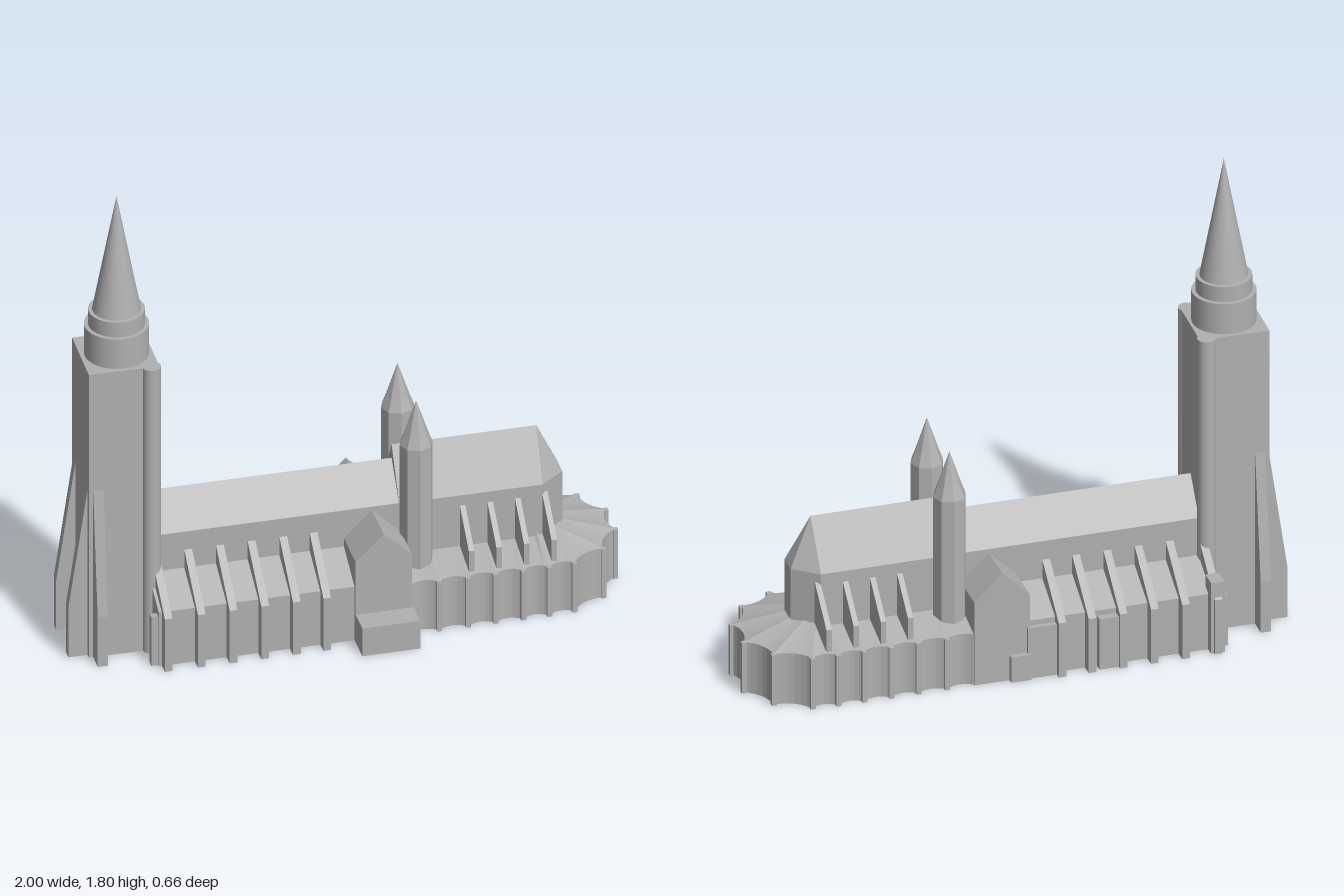
import * as THREE from 'three';
import { ConvexGeometry } from 'three/addons/geometries/ConvexGeometry.js';

export function createModel() {
  const model = new THREE.Group();
  model.name = 'cathedral';
  const stone = new THREE.MeshStandardMaterial({ color: 0xb0b0b0 });
  stone.name = 'grey stone';

  const add = (parent, name, geo, x = 0, y = 0, z = 0) => {
    const m = new THREE.Mesh(geo, stone);
    m.name = name;
    m.position.set(x, y, z);
    parent.add(m);
    return m;
  };
  // box from minimum and maximum corners
  const block = (parent, name, x0, x1, y0, y1, z0, z1) =>
    add(parent, name, new THREE.BoxGeometry(x1 - x0, y1 - y0, z1 - z0), (x0 + x1) / 2, (y0 + y1) / 2, (z0 + z1) / 2);
  const shapeOf = (pts) => new THREE.Shape(pts.map(([a, b]) => new THREE.Vector2(a, b)));
  // profile of [x, y] points, swept along z
  const sweepZ = (pts, z0, z1) =>
    new THREE.ExtrudeGeometry(shapeOf(pts), { depth: z1 - z0, bevelEnabled: false }).translate(0, 0, z0);
  // profile of [z, y] points, swept along x
  const sweepX = (pts, x0, x1) =>
    new THREE.ExtrudeGeometry(shapeOf(pts.map(([z, y]) => [-z, y])), { depth: x1 - x0, bevelEnabled: false })
      .rotateY(Math.PI / 2).translate(x0, 0, 0);
  const faceted = (geo) => {
    const g = geo.toNonIndexed();
    g.computeVertexNormals();
    return g;
  };

  // ---- west tower ----
  const tower = new THREE.Group();
  tower.name = 'westTower';
  tower.position.set(-0.8, 0, -0.017);
  model.add(tower);
  block(tower, 'towerShaft', -0.13, 0.125, 0, 1.16, -0.13, 0.13);
  add(tower, 'lowerDrum', new THREE.CylinderGeometry(0.115, 0.115, 0.12, 40), 0, 1.22, 0);
  add(tower, 'upperDrum', new THREE.CylinderGeometry(0.1, 0.1, 0.06, 40), 0, 1.31, 0);
  add(tower, 'towerSpire', new THREE.ConeGeometry(0.086, 0.46, 40), 0, 1.57, 0);
  for (const s of [-1, 1]) {
    add(tower, 'stairTurret', new THREE.CylinderGeometry(0.034, 0.034, 1.16, 16), 0.098, 0.58, s * 0.121);
    // tapering buttresses on the west face and on the two flanks
    add(tower, 'westButtress', sweepZ([[-0.2, 0], [-0.12, 0], [-0.12, 0.75], [-0.2, 0.2]], s * 0.095 - 0.018, s * 0.095 + 0.018));
    add(tower, 'flankButtress', sweepX([[s * 0.12, 0], [s * 0.2, 0], [s * 0.2, 0.2], [s * 0.12, 0.75]], -0.114, -0.077));
  }

  // ---- church body, with its axis turned slightly from the tower ----
  const body = new THREE.Group();
  body.name = 'churchBody';
  body.position.z = -0.045;
  body.rotation.y = 0.024;
  model.add(body);

  add(body, 'nave', sweepX([[-0.105, 0], [0.105, 0], [0.105, 0.445], [0, 0.57], [-0.105, 0.445]], -0.7, 0.2));
  add(body, 'aisles', sweepX([[-0.255, 0], [0.255, 0], [0.255, 0.22], [0.1, 0.3], [-0.1, 0.3], [-0.255, 0.22]], -0.71, 0.2));
  add(body, 'transept', sweepZ([[0, 0], [0.205, 0], [0.205, 0.33], [0.102, 0.43], [0, 0.33]], -0.265, 0.27));
  block(body, 'southPorch', 0, 0.21, 0, 0.113, 0.25, 0.367);
  block(body, 'northPorch', 0, 0.075, 0, 0.1, -0.285, -0.25);
  block(body, 'northChapel', -0.35, -0.25, 0, 0.2, -0.285, -0.24);
  block(body, 'northChapel', -0.12, 0.01, 0, 0.2, -0.275, -0.24);
  block(body, 'northWestChapel', -0.71, -0.66, 0, 0.28, -0.29, -0.22);

  for (const s of [-1, 1]) {
    // nave buttresses rising over the aisle roof
    for (const x of [-0.685, -0.565, -0.45, -0.335, -0.22, -0.11])
      add(body, 'naveButtress', sweepX([[s * 0.09, 0], [s * 0.298, 0], [s * 0.298, 0.215], [s * 0.1, 0.375], [s * 0.09, 0.375]], x - 0.014, x + 0.014));
    block(body, 'westCornerButtress', -0.735, -0.7, 0, 0.2, s * 0.235 - 0.012, s * 0.235 + 0.012);
    // flying buttresses of the choir
    for (const x of [0.43, 0.53, 0.63, 0.73])
      add(body, 'choirButtress', sweepX([[s * 0.08, 0.19], [s * 0.235, 0.19], [s * 0.235, 0.29], [s * 0.1, 0.41], [s * 0.08, 0.41]], x - 0.01, x + 0.01));
    // octagonal choir turrets
    add(body, 'choirTurret', faceted(new THREE.CylinderGeometry(0.06, 0.06, 0.7, 8)), 0.255, 0.35, s * 0.132);
    add(body, 'turretCap', faceted(new THREE.CylinderGeometry(0.045, 0.06, 0.04, 8)), 0.255, 0.72, s * 0.132);
    add(body, 'turretSpire', faceted(new THREE.ConeGeometry(0.045, 0.135, 8)), 0.255, 0.807, s * 0.132);
  }

  // choir with a three-sided apse and hipped roof
  const choirPts = [];
  for (const y of [0, 0.445])
    for (const s of [-1, 1])
      for (const [x, z] of [[0.2, 0.108], [0.72, 0.108], [0.81, 0.037]]) choirPts.push(new THREE.Vector3(x, y, s * z));
  for (const x of [0.2, 0.725]) choirPts.push(new THREE.Vector3(x, 0.625, 0));
  add(body, 'choir', new ConvexGeometry(choirPts));

  // scalloped ring of chapels: pointed piers joined by hollow curved bays
  const half = [0.2, 0.305, 0.41, 0.51, 0.61, 0.705].map((x) => [x, 0.262]);
  for (const deg of [74, 45, 15]) {
    const a = THREE.MathUtils.degToRad(deg);
    half.push([0.72 + 0.283 * Math.cos(a), 0.266 * Math.sin(a)]);
  }
  const piers = [...half.map(([x, z]) => [x, -z]), ...half.slice().reverse()]; // [x, shape y]
  const outline = [new THREE.Vector2(...piers[0])];
  for (let i = 1; i < piers.length; i++) {
    const a = new THREE.Vector2(...piers[i - 1]);
    const b = new THREE.Vector2(...piers[i]);
    const d = b.clone().sub(a).normalize();
    const mid = a.clone().add(b).multiplyScalar(0.5).add(new THREE.Vector2(-d.y, d.x).multiplyScalar(0.04));
    outline.push(...new THREE.QuadraticBezierCurve(a, mid, b).getPoints(6).slice(1));
  }
  const wall = new THREE.ExtrudeGeometry(new THREE.Shape(outline), { depth: 0.2, bevelEnabled: false });
  add(body, 'chapelWall', wall.rotateX(-Math.PI / 2));
  for (const [x, y] of piers.slice(1, -1)) block(body, 'chapelPier', x - 0.009, x + 0.009, 0, 0.2, -y - 0.009, -y + 0.009);

  // low lean-to roof from the chapel wall up to the choir
  const inner = (p) => p.x < 0.7 ? [p.x, 0.24, -Math.sign(p.y) * 0.1]
    : [0.7 + (p.x - 0.7) * 0.32, 0.25, -p.y * 0.36];
  const tri = [];
  for (let i = 1; i < outline.length; i++) {
    const p = outline[i - 1], q = outline[i];
    const a = [p.x, 0.201, -p.y], b = [q.x, 0.201, -q.y];
    tri.push(...a, ...b, ...inner(q), ...a, ...inner(q), ...inner(p));
  }
  const roof = new THREE.BufferGeometry();
  roof.setAttribute('position', new THREE.Float32BufferAttribute(tri, 3));
  roof.computeVertexNormals();
  add(body, 'chapelRoof', roof);

  return model;
}
